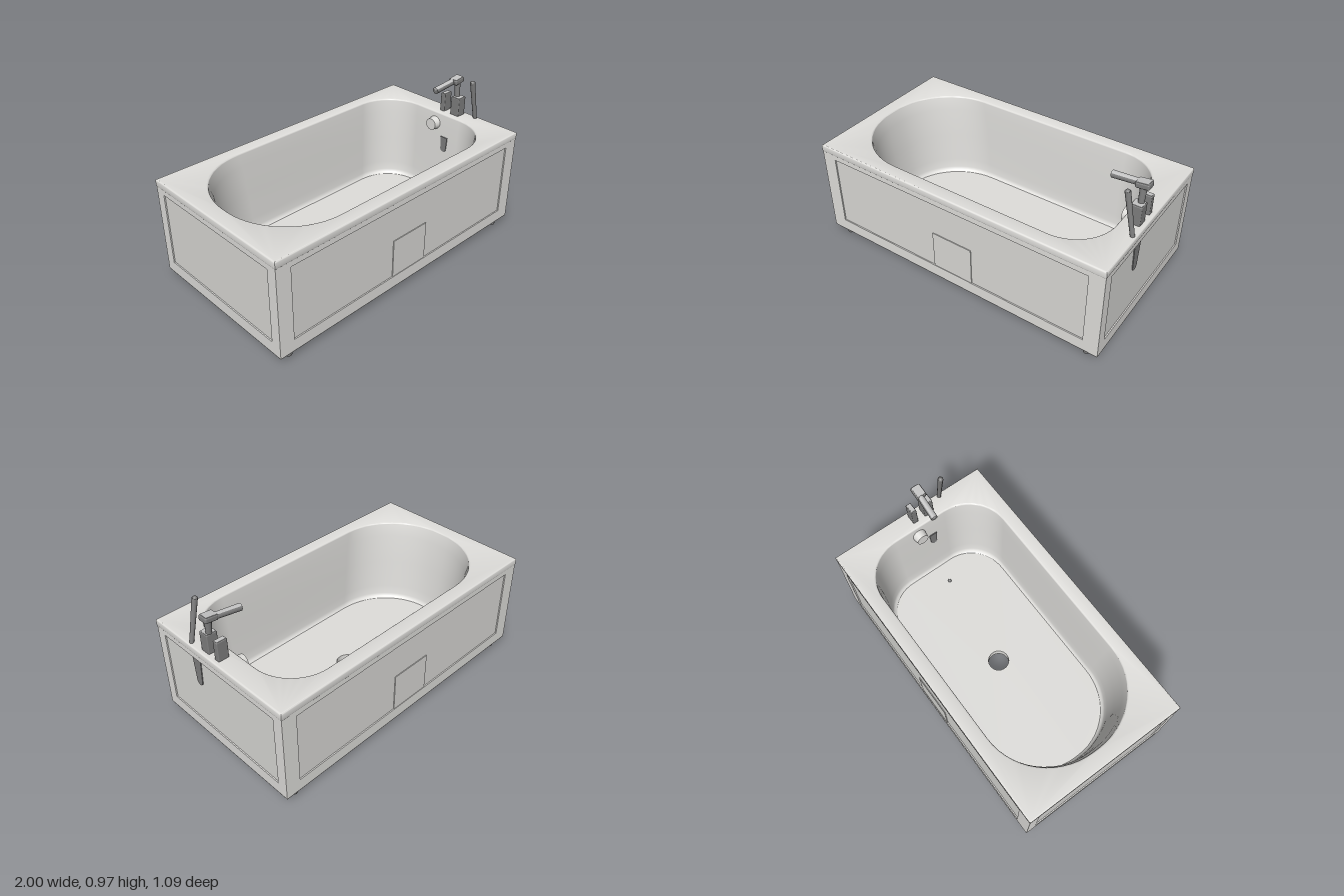
import * as THREE from 'three';
import { toCreasedNormals } from 'three/addons/utils/BufferGeometryUtils.js';
import { RoundedBoxGeometry } from 'three/addons/geometries/RoundedBoxGeometry.js';

function colour(name, hex, side = THREE.FrontSide) {
  const material = new THREE.MeshStandardMaterial({ color: hex, side });
  material.name = name;
  return material;
}
const enamel = colour('enamel', 0xdfdedb, THREE.DoubleSide);
const panelGrey = colour('panel grey', 0xd9d8d5);
const baseGrey = colour('base grey', 0x949494, THREE.DoubleSide);
const chrome = colour('chrome', 0x7e7e7e);
const brightChrome = colour('bright chrome', 0xc4c4c4);

const HX = 0.998, HZ = 0.543, WALL = 0.04, FLOOR = 0.11;
const DRAIN = { x: 0.01, z: -0.015, r: 0.068 };

function add(parent, name, geometry, material, x = 0, y = 0, z = 0) {
  const mesh = new THREE.Mesh(geometry, material);
  mesh.name = name;
  mesh.position.set(x, y, z);
  parent.add(mesh);
  return mesh;
}

function rectangle(Type, x0, y0, x1, y1) {
  return new Type([[x0, y0], [x1, y0], [x1, y1], [x0, y1]].map(([x, y]) => new THREE.Vector2(x, y)));
}

// Outline of the basin: broad round head end (-x), tighter corners at the tap end (+x)
function basinOutline(inset, headInset) {
  const x0 = -0.9 + headInset, x1 = 0.865 - inset, hz = 0.455 - inset;
  const head = [0.42, hz - 0.02], tap = [0.27, 0.27 - inset / 2];
  const corners = [[x1, hz, tap, 0], [x0, hz, head, 1], [x0, -hz, head, 2], [x1, -hz, tap, 3]];
  const points = [], n = 14;
  for (const [x, z, [rx, rz], quarter] of corners) {
    const cx = x - Math.sign(x) * rx, cz = z - Math.sign(z) * rz;
    for (let i = 0; i <= n; i++) {
      const a = (quarter + i / n) * Math.PI / 2;
      points.push(new THREE.Vector2(cx + rx * Math.cos(a), cz + rz * Math.sin(a)));
    }
  }
  return points;
}

function drainHole() {
  return new THREE.Path().absarc(DRAIN.x, -DRAIN.z, DRAIN.r, 0, Math.PI * 2, true);
}

// Basin walls lofted through [inset, head inset, height] sections, facing inwards
function basinWalls(sections) {
  const rings = sections.map(([a, b]) => basinOutline(a, b));
  const count = rings[0].length, position = [], index = [];
  rings.forEach((ring, j) => ring.forEach(p => position.push(p.x, sections[j][2], -p.y)));
  for (let j = 0; j < rings.length - 1; j++) {
    for (let i = 0; i < count; i++) {
      const a = j * count + i, b = j * count + (i + 1) % count;
      index.push(a, b, a + count, b, b + count, a + count);
    }
  }
  const geometry = new THREE.BufferGeometry();
  geometry.setAttribute('position', new THREE.Float32BufferAttribute(position, 3));
  geometry.setIndex(index);
  geometry.computeVertexNormals();
  return geometry;
}

// One apron side: a frame around a recessed panel, built facing +z
function apronSide(name, halfWidth, halfOpening, distance, angle, hasDoor) {
  const side = new THREE.Group();
  side.name = name;
  const shape = rectangle(THREE.Shape, -halfWidth, 0.052, halfWidth, 0.672);
  shape.holes.push(rectangle(THREE.Path, -halfOpening, 0.13, halfOpening, 0.61));
  const frame = new THREE.ExtrudeGeometry(shape, { depth: WALL, bevelEnabled: false });
  add(side, 'apronFrame', frame, enamel, 0, 0, distance - WALL);
  add(side, 'recessedPanel', new THREE.BoxGeometry(halfOpening * 2, 0.48, 0.02), panelGrey, 0, 0.37, distance - 0.018);
  if (hasDoor) {
    add(side, 'accessDoor', new THREE.BoxGeometry(0.28, 0.255, 0.008), panelGrey, 0, 0.2575, distance - 0.007);
  }
  side.rotation.y = angle;
  return side;
}

// Straight bar between two points, or a lengthwise strip of one
function bar(parent, name, from, to, r0, r1, material = chrome, start = 0, sweep = Math.PI * 2) {
  const a = new THREE.Vector3(...from), b = new THREE.Vector3(...to);
  const geometry = new THREE.CylinderGeometry(r1, r0, a.distanceTo(b), 20, 1, false, start, sweep);
  const mesh = add(parent, name, geometry, material);
  mesh.position.copy(a).add(b).multiplyScalar(0.5);
  mesh.quaternion.setFromUnitVectors(new THREE.Vector3(0, 1, 0), b.sub(a).normalize());
}

// Tapered slot with a rounded lower end
function slotPlate(top, bottom, height) {
  const s = new THREE.Shape();
  s.moveTo(-top, 0);
  s.lineTo(-bottom, -height + bottom);
  s.absarc(0, -height + bottom, bottom, Math.PI, Math.PI * 2, false);
  s.lineTo(top, 0);
  s.closePath();
  return new THREE.ExtrudeGeometry(s, { depth: 0.006, bevelEnabled: false });
}

// Upright tap block with a bright top plate
function tapBlock(parent, name, depth, z) {
  add(parent, name, new RoundedBoxGeometry(0.07, 0.13, depth, 2, 0.006), chrome, 0.94, 0.75, z);
  add(parent, name + 'Top', new THREE.BoxGeometry(0.06, 0.004, depth - 0.01), brightChrome, 0.94, 0.815, z);
}

export function createModel() {
  const model = new THREE.Group();
  model.name = 'bathtub';

  // Rim with softened edges
  const rimShape = rectangle(THREE.Shape, -1, -0.545, 1, 0.545);
  rimShape.holes.push(new THREE.Path(basinOutline(0, 0)));
  const rim = new THREE.ExtrudeGeometry(rimShape, {
    depth: 0.03, bevelThickness: 0.01, bevelSize: 0.01, bevelOffset: -0.01, bevelSegments: 3,
  });
  rim.rotateX(-Math.PI / 2);
  add(model, 'rim', toCreasedNormals(rim, 0.7), enamel, 0, 0.65, 0);

  // Basin
  const sections = [[0, 0, 0.68], [0.006, 0.02, 0.6], [0.012, 0.042, 0.4], [0.018, 0.062, 0.2],
    [0.022, 0.07, 0.14], [0.028, 0.078, 0.12], [0.04, 0.09, FLOOR]];
  add(model, 'basinWalls', basinWalls(sections), enamel);
  const floorShape = new THREE.Shape(basinOutline(0.04, 0.09));
  floorShape.holes.push(drainHole());
  add(model, 'basinFloor', new THREE.ShapeGeometry(floorShape, 24).rotateX(-Math.PI / 2), enamel, 0, FLOOR, 0);
  const sleeve = new THREE.CylinderGeometry(DRAIN.r, DRAIN.r, FLOOR - 0.055, 32, 1, true);
  add(model, 'drainSleeve', sleeve, enamel, DRAIN.x, (FLOOR + 0.055) / 2, DRAIN.z);

  // Underside with its border
  const underShape = rectangle(THREE.Shape, -HX + 0.03, -HZ + 0.03, HX - 0.03, HZ - 0.03);
  underShape.holes.push(drainHole());
  add(model, 'underside', new THREE.ShapeGeometry(underShape, 24).rotateX(-Math.PI / 2), baseGrey, 0, 0.056, 0);
  const borderShape = rectangle(THREE.Shape, -HX, -HZ, HX, HZ);
  borderShape.holes.push(rectangle(THREE.Path, -HX + WALL, -HZ + WALL, HX - WALL, HZ - WALL));
  add(model, 'undersideBorder', new THREE.ShapeGeometry(borderShape).rotateX(-Math.PI / 2), baseGrey, 0, 0.05, 0);

  // Apron
  model.add(apronSide('frontApron', HX, 0.9, HZ, 0, true));
  model.add(apronSide('backApron', HX, 0.9, HZ, Math.PI, true));
  model.add(apronSide('leftApron', HZ - WALL, 0.475, HX, Math.PI / 2, false));
  model.add(apronSide('rightApron', HZ - WALL, 0.475, HX, -Math.PI / 2, false));

  // Feet
  for (const x of [-0.91, 0.91]) {
    for (const z of [-0.5, 0.5]) {
      add(model, 'foot', new THREE.CylinderGeometry(0.023, 0.018, 0.062, 10), chrome, x, 0.031, z);
    }
  }

  // Overflow: outer slot, inner slot and round cap
  const outerSlot = add(model, 'outerSlot', slotPlate(0.037, 0.025, 0.195), chrome, HX - 0.009, 0.615, 0.174);
  outerSlot.rotation.y = Math.PI / 2;
  const innerSlot = add(model, 'innerSlot', slotPlate(0.028, 0.022, 0.11), chrome, 0.855, 0.53, 0.075);
  innerSlot.rotation.y = -Math.PI / 2;
  const cap = add(model, 'overflowCap', new THREE.CylinderGeometry(0.04, 0.046, 0.05, 24), enamel, 0.84, 0.61, -0.018);
  cap.rotation.z = Math.PI / 2;
  add(model, 'floorStud', new THREE.SphereGeometry(0.012, 12, 8), chrome, 0.69, FLOOR + 0.002, 0.06);

  // Tap set
  const taps = new THREE.Group();
  taps.name = 'tapSet';
  model.add(taps);
  tapBlock(taps, 'mixerBase', 0.068, 0.103);
  tapBlock(taps, 'temperatureHandle', 0.037, 0);
  bar(taps, 'mixerColumn', [0.945, 0.79, 0.09], [0.945, 0.925, 0.078], 0.017, 0.021);
  const head = new THREE.Group();
  head.name = 'mixerHead';
  head.position.set(0.943, 0.925, 0.073);
  head.rotation.z = 0.12;
  taps.add(head);
  add(head, 'headBody', new RoundedBoxGeometry(0.085, 0.036, 0.066, 2, 0.01), chrome);
  add(head, 'headTop', new THREE.BoxGeometry(0.072, 0.004, 0.054), brightChrome, 0, 0.0175, 0);

  // Spout with a bright strip along its top
  const spout = [[0.75, 0.9, 0.055], [0.93, 0.922, 0.066], 0.022, 0.02];
  bar(taps, 'spoutBody', ...spout, chrome, Math.PI * 1.78, Math.PI * 1.44);
  bar(taps, 'spoutTop', ...spout, brightChrome, Math.PI * 1.22, Math.PI * 0.56);

  // Hand shower
  bar(taps, 'handShower', [0.978, 0.685, 0.225], [0.918, 0.96, 0.222], 0.013, 0.017);
  add(taps, 'handShowerTip', new THREE.SphereGeometry(0.0168, 16, 10), chrome, 0.918, 0.954, 0.222);
  return model;
}
